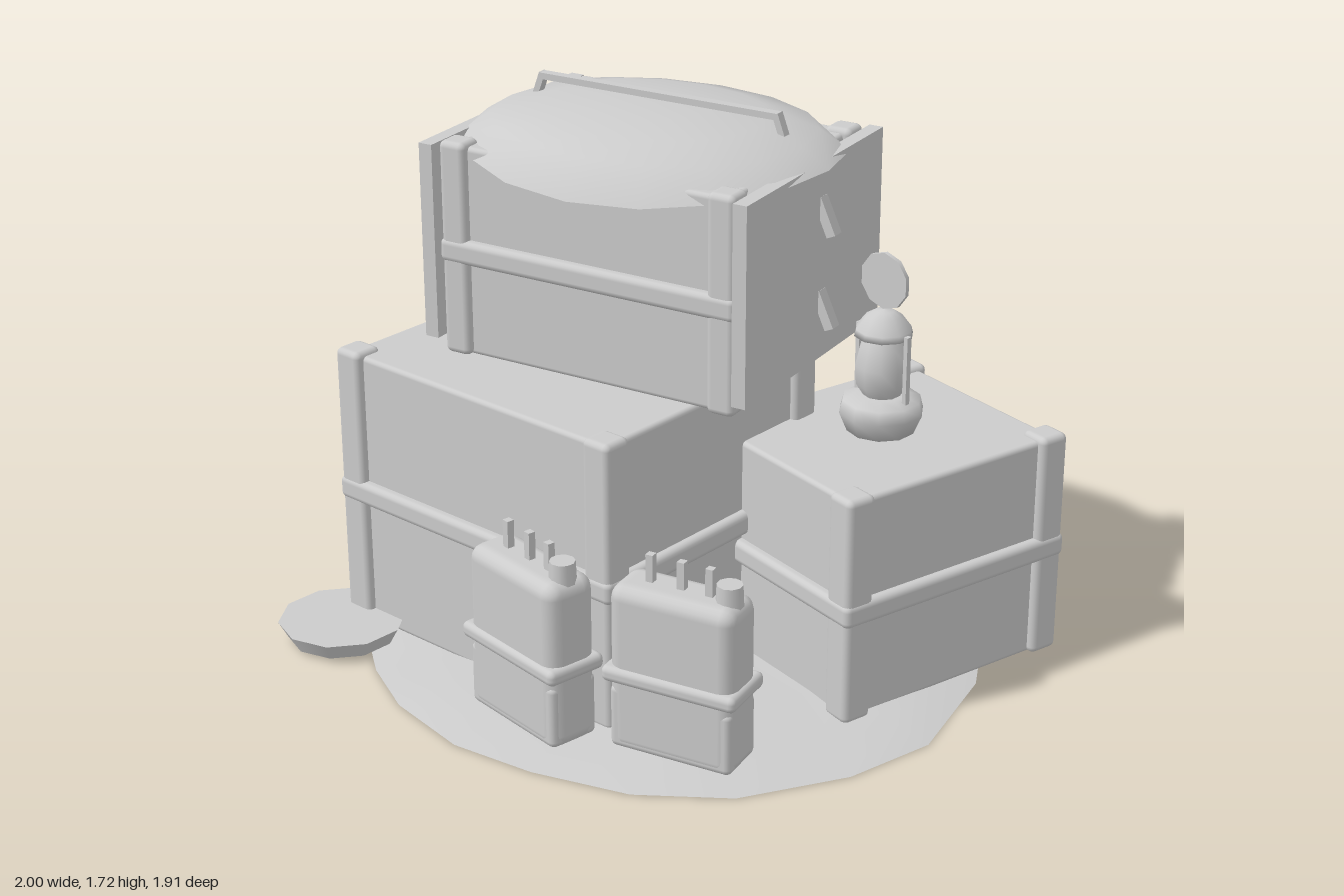
import * as THREE from 'three';
import { RoundedBoxGeometry } from 'three/addons/geometries/RoundedBoxGeometry.js';

const grey = new THREE.MeshStandardMaterial({ color: 0xcccccc, side: THREE.DoubleSide });
grey.name = 'plain grey';

function add(parent, name, geometry, x = 0, y = 0, z = 0) {
  const mesh = new THREE.Mesh(geometry, grey);
  mesh.name = name;
  mesh.position.set(x, y, z);
  parent.add(mesh);
  return mesh;
}

function group(parent, name, x, y, z, turn) {
  const g = new THREE.Group();
  g.name = name;
  g.position.set(x, y, z);
  g.rotation.y = turn;
  parent.add(g);
  return g;
}

const rounded = (w, h, d, r) => new RoundedBoxGeometry(w, h, d, 2, r);

// Surface of rings, each ring an array of [x, y, z], closed by a centre point
function ringSurface(rings, centre) {
  const n = rings[0].length;
  const points = [...rings.flat(), centre];
  const index = [];
  rings.forEach((ring, r) => {
    for (let i = 0; i < n; i++) {
      const a = r * n + i, b = r * n + (i + 1) % n;
      if (r === rings.length - 1) index.push(a, b, points.length - 1);
      else index.push(a, b, b + n, a, b + n, a + n);
    }
  });
  const g = new THREE.BufferGeometry();
  g.setAttribute('position', new THREE.Float32BufferAttribute(points.flat(), 3));
  g.setIndex(index);
  g.computeVertexNormals();
  return g;
}

// Crate with four corner posts and a band; w and d are outer sizes
function crate(parent, name, [x, y, z], turn, w, h, d, bandY, bandH, post) {
  const g = group(parent, name, x, y, z, turn);
  add(g, 'body', rounded(w - 0.05, h - 0.015, d - 0.05, 0.015), 0, (h - 0.015) / 2, 0);
  for (const sx of [-1, 1]) for (const sz of [-1, 1]) {
    add(g, 'cornerPost', rounded(post, h, post, 0.02), sx * (w - post) / 2, h / 2, sz * (d - post) / 2);
  }
  add(g, 'band', rounded(w + 0.01, bandH, d + 0.01, 0.02), 0, bandY - y, 0);
  return g;
}

// Fuel can with a strap, a cap and three small pegs
function fuelCan(parent, x, z, turn) {
  const g = group(parent, 'fuelCan', x, 0.02, z, turn);
  add(g, 'canBody', rounded(0.4, 0.53, 0.17, 0.045), 0, 0.265, 0);
  add(g, 'canBottom', rounded(0.39, 0.2, 0.165, 0.02), 0, 0.11, 0);
  add(g, 'strap', rounded(0.43, 0.05, 0.2, 0.02), 0, 0.25, 0);
  add(g, 'cap', new THREE.CylinderGeometry(0.038, 0.042, 0.09, 10), 0.15, 0.535, 0);
  for (const px of [-0.1, 0, 0.09]) add(g, 'peg', new THREE.BoxGeometry(0.023, 0.12, 0.023), px, 0.555, 0);
}

export function createModel() {
  const model = new THREE.Group();
  model.name = 'supplyPile';

  // Low mound of ground with an uneven rim
  const rim = [[-0.02, -0.96], [-0.29, -0.88], [-0.6, -0.72], [-0.84, -0.53], [-0.97, -0.27],
    [-1, 0], [-0.95, 0.35], [-0.8, 0.62], [-0.5, 0.82], [-0.29, 0.91], [0, 0.95], [0.27, 0.9],
    [0.56, 0.79], [0.79, 0.6], [0.95, 0.29], [1, 0], [0.88, -0.38], [0.72, -0.62], [0.48, -0.77], [0.24, -0.88]];
  const groundRings = [[1, 0], [0.86, 0.025], [0.6, 0.045]].map(([s, h]) =>
    rim.map(([x, z], i) => [x * s, h ? h + 0.008 * Math.sin(i * 2.1) : 0, z * s]));
  add(model, 'ground', ringSurface(groundRings, [0, 0.04, 0]));

  // Flat stone
  add(model, 'stone', new THREE.CylinderGeometry(0.2, 0.17, 0.055, 10), -0.745, 0.038, 0.745);

  // Stacked crates
  crate(model, 'largeCrate', [-0.275, 0.02, 0.165], 0.045, 1.12, 0.915, 0.95, 0.47, 0.075, 0.1);
  crate(model, 'smallCrate', [0.49, 0.02, -0.365], -0.19, 0.75, 0.725, 0.84, 0.375, 0.075, 0.1);
  const chest = crate(model, 'chest', [-0.153, 0.93, -0.048], 0.225, 1.0, 0.67, 0.79, 1.26, 0.075, 0.09);

  // Chest end panels and their tilted grips
  for (const s of [-1, 1]) {
    add(chest, 'endPanel', new THREE.BoxGeometry(0.045, 0.61, 0.83), s * 0.53, 0.355, 0);
    for (const y of [0.205, 0.495]) {
      add(chest, 'grip', new THREE.BoxGeometry(0.03, 0.12, 0.04), s * 0.565, y, -0.04).rotation.z = s * 0.42;
    }
  }

  // Domed lid that droops at front and back
  const lidRings = [[1, 0], [0.85, 0.055], [0.6, 0.09], [0.3, 0.108]].map(([s, h]) =>
    Array.from({ length: 16 }, (_, i) => {
      const a = -i / 16 * Math.PI * 2;
      const c = Math.cos(a), d = Math.sin(a);
      const side = Math.sign(d) * Math.abs(d) ** 0.85;
      const droop = s === 1 ? 0.055 * d * d : 0;
      return [c * 0.59 * s, 0.65 + h - droop, side * 0.48 * s];
    }));
  add(chest, 'lid', ringSurface(lidRings, [0, 0.762, 0]));
  add(chest, 'lidUnderside', ringSurface([lidRings[0].slice().reverse()], [0, 0.62, 0]));

  // Lid handle
  add(chest, 'handleBar', new THREE.BoxGeometry(0.82, 0.02, 0.03), 0, 0.775, -0.03);
  for (const s of [-1, 1]) {
    add(chest, 'handleLeg', new THREE.BoxGeometry(0.02, 0.07, 0.03), s * 0.413, 0.75, -0.03).rotation.z = s * 0.35;
  }

  // Lantern
  const lantern = group(model, 'lantern', 0.49, 0.735, -0.365, 0);
  const lathe = (points) => new THREE.LatheGeometry(points.map(([r, y]) => new THREE.Vector2(r, y)), 10);
  add(lantern, 'lanternBase', lathe([[0, 0], [0.105, 0], [0.13, 0.06], [0.12, 0.1], [0.07, 0.115], [0, 0.115]]));
  add(lantern, 'glass', lathe([[0.055, 0.11], [0.08, 0.15], [0.085, 0.21], [0.07, 0.27], [0.05, 0.31]]));
  add(lantern, 'lanternCap', lathe([[0, 0.29], [0.09, 0.305], [0.085, 0.325], [0.055, 0.365], [0.03, 0.38], [0, 0.385]]));
  for (const s of [-1, 1]) {
    add(lantern, 'framePost', new THREE.BoxGeometry(0.014, 0.22, 0.018), s * 0.092, 0.21, 0);
  }
  add(lantern, 'hangingDisc', new THREE.CylinderGeometry(0.088, 0.088, 0.014, 10), 0, 0.475, 0).rotation.x = Math.PI / 2;

  fuelCan(model, 0.085, 0.71, -0.1);
  fuelCan(model, 0.53, 0.545, 0.27);
  return model;
}
